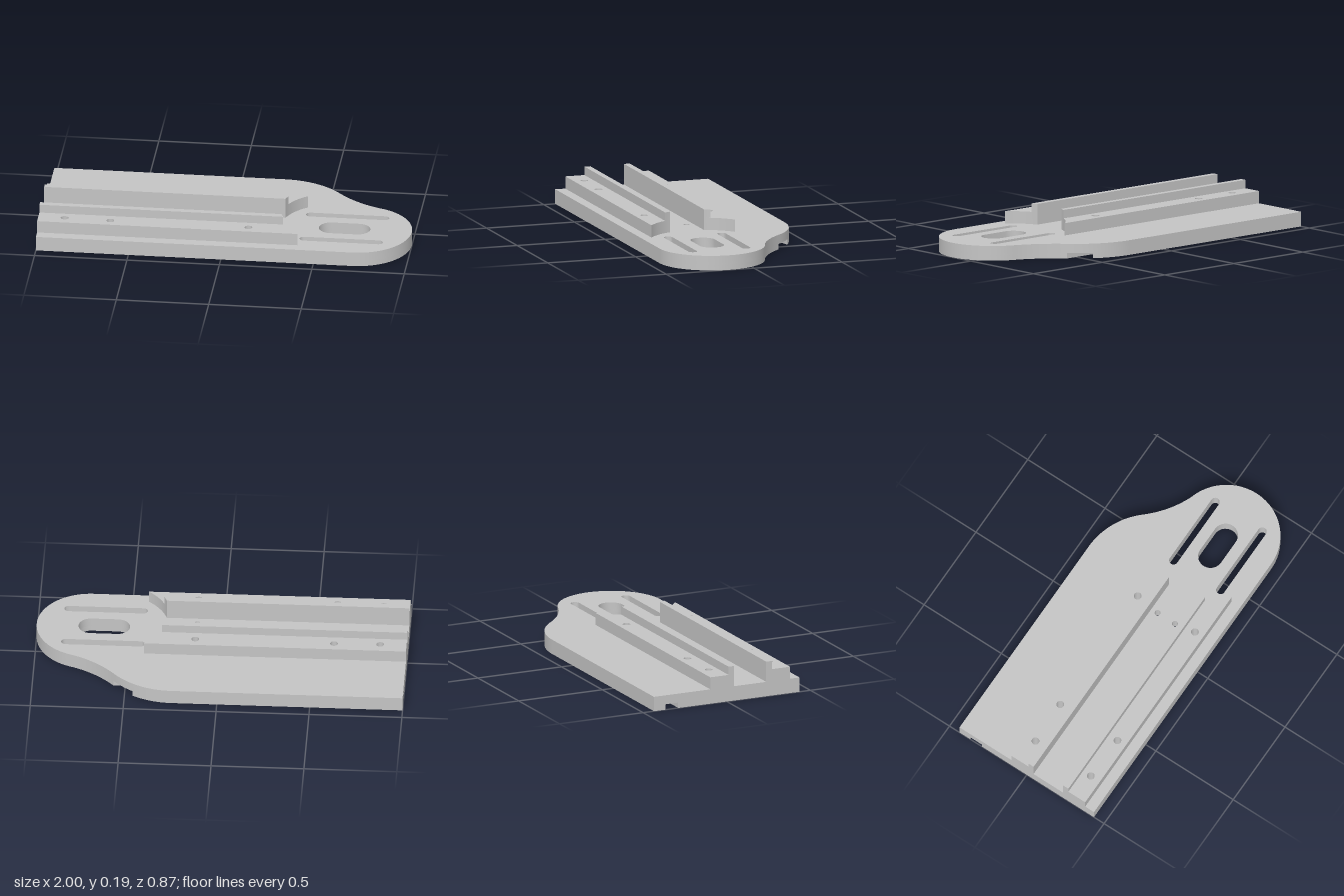
import * as THREE from 'three';
import { toCreasedNormals } from 'three/addons/utils/BufferGeometryUtils.js';

const PLATE_TOP = 0.08, GROOVE_TOP = 0.03, RAIL_TOP = 0.147, LIP_TOP = 0.193;
const MID = 0.14; // centre line of the rails and slots
const GROOVE_IN = -0.29, GROOVE_OUT = -0.366, GROOVE_FLARE = -0.378;
const DEG = Math.PI / 180;

// Plan points are [x, z]; angles in degrees run from +x towards +z.
function arc(cx, cz, r, a0, a1, n = 24) {
  return Array.from({ length: n + 1 }, (_, i) => {
    const a = (a0 + (a1 - a0) * i / n) * DEG;
    return [cx + r * Math.cos(a), cz + r * Math.sin(a)];
  });
}
const circle = (x, z, r) => arc(x, z, r, 0, 345, 23);
const slot = (x0, x1, z, r) => [
  ...arc(x0 + r, z, r, 90, 270, 14), ...arc(x1 - r, z, r, -90, 90, 14)];
const toVectors = pts => pts.map(([x, z]) => new THREE.Vector2(x, -z));

// Vertical prism between two heights; holes wind against the outline
function prism(outline, holes, y0, y1) {
  const shape = new THREE.Shape(toVectors(outline));
  shape.holes = holes.map(h => new THREE.Path(toVectors(h).reverse()));
  const g = new THREE.ExtrudeGeometry(shape, { depth: y1 - y0, bevelEnabled: false });
  g.rotateX(-Math.PI / 2).translate(0, y0, 0);
  return toCreasedNormals(g, 30 * DEG);
}

export function createModel() {
  const group = new THREE.Group();
  const grey = new THREE.MeshStandardMaterial({ color: 0xc4c4c4 });
  grey.name = 'machined grey';
  grey.side = THREE.DoubleSide;
  const add = (name, geometry) => {
    const mesh = new THREE.Mesh(geometry, grey);
    mesh.name = name;
    group.add(mesh);
  };

  // Plate outline: straight back edge, convex shoulder, concave sweep, round nose
  const shoulder = endAngle => arc(0.246, -0.015, 0.42, -90, endAngle);
  const sweep = new THREE.QuadraticBezierCurve(
    new THREE.Vector2(0.558, -0.296), new THREE.Vector2(0.666, -0.177),
    new THREE.Vector2(0.804, -0.129)).getPoints(20).slice(1, -1).map(p => [p.x, p.y]);
  const nose = [...sweep, ...arc(0.71, 0.145, 0.29, -71, 90, 48), [-1, 0.435]];

  // Openings
  const slots = [slot(0.41, 0.86, MID - 0.152, 0.024), slot(0.41, 0.86, MID + 0.152, 0.024),
    slot(0.497, 0.775, MID, 0.067)];
  const pins = [circle(0.137, MID - 0.056, 0.016), circle(0.137, MID + 0.056, 0.016)];
  const sides = [-1, 1];
  const ends = sides.map(s => [-0.858, MID + s * 0.179]);
  const screws = sides.flatMap(s => [-0.61, 0.137].map(x => [x, MID + s * 0.185]));
  const endBores = ends.map(([x, z]) => circle(x, z, 0.021));
  const screwBores = screws.map(([x, z]) => circle(x, z, 0.021));
  const sinks = screws.map(([x, z]) => circle(x, z, 0.037));

  // Plate, with a groove along the underside near the back edge
  add('plateUpper', prism([[-1, -0.435], ...shoulder(-42), ...nose],
    [...slots, ...pins, ...endBores, ...screwBores], GROOVE_TOP, PLATE_TOP));
  add('plateLower', prism([[-1, GROOVE_IN], [0.564, GROOVE_IN], ...nose],
    [...slots, ...pins, ...endBores, ...sinks], 0, GROOVE_TOP));
  const flareAngle = Math.asin((GROOVE_FLARE + 0.015) / 0.42) / DEG;
  add('grooveOuterStrip', prism([[-1, -0.435], ...shoulder(flareAngle),
    [0.4, GROOVE_OUT], [-1, GROOVE_OUT]], [], 0, GROOVE_TOP));

  // Conical countersinks under the screw holes
  for (const [x, z] of screws) {
    const cone = new THREE.CylinderGeometry(0.021, 0.037, GROOVE_TOP, 24, 1, true);
    cone.translate(x, GROOVE_TOP / 2, z);
    add('countersink', cone);
  }

  // Stepped rails, mirrored about MID, whose ends follow one circular cut
  const cutX = 0.584, cutR = 0.295;
  function railOutline(side, inner, outer) {
    const angle = d => 180 - Math.asin(d / cutR) / DEG;
    const edge = arc(cutX, 0, cutR, angle(inner), angle(outer), 16);
    return [[-1, inner], ...edge, [-1, outer]].map(([x, d]) => [x, MID + side * d]);
  }
  sides.forEach((s, i) => {
    const holes = [endBores[i], ...screwBores.slice(2 * i, 2 * i + 2)];
    add('railBase', prism(railOutline(s, 0.096, 0.238), holes, PLATE_TOP, RAIL_TOP));
    add('railLip', prism(railOutline(s, 0.096, 0.129), [], RAIL_TOP, LIP_TOP));
  });
  return group;
}
